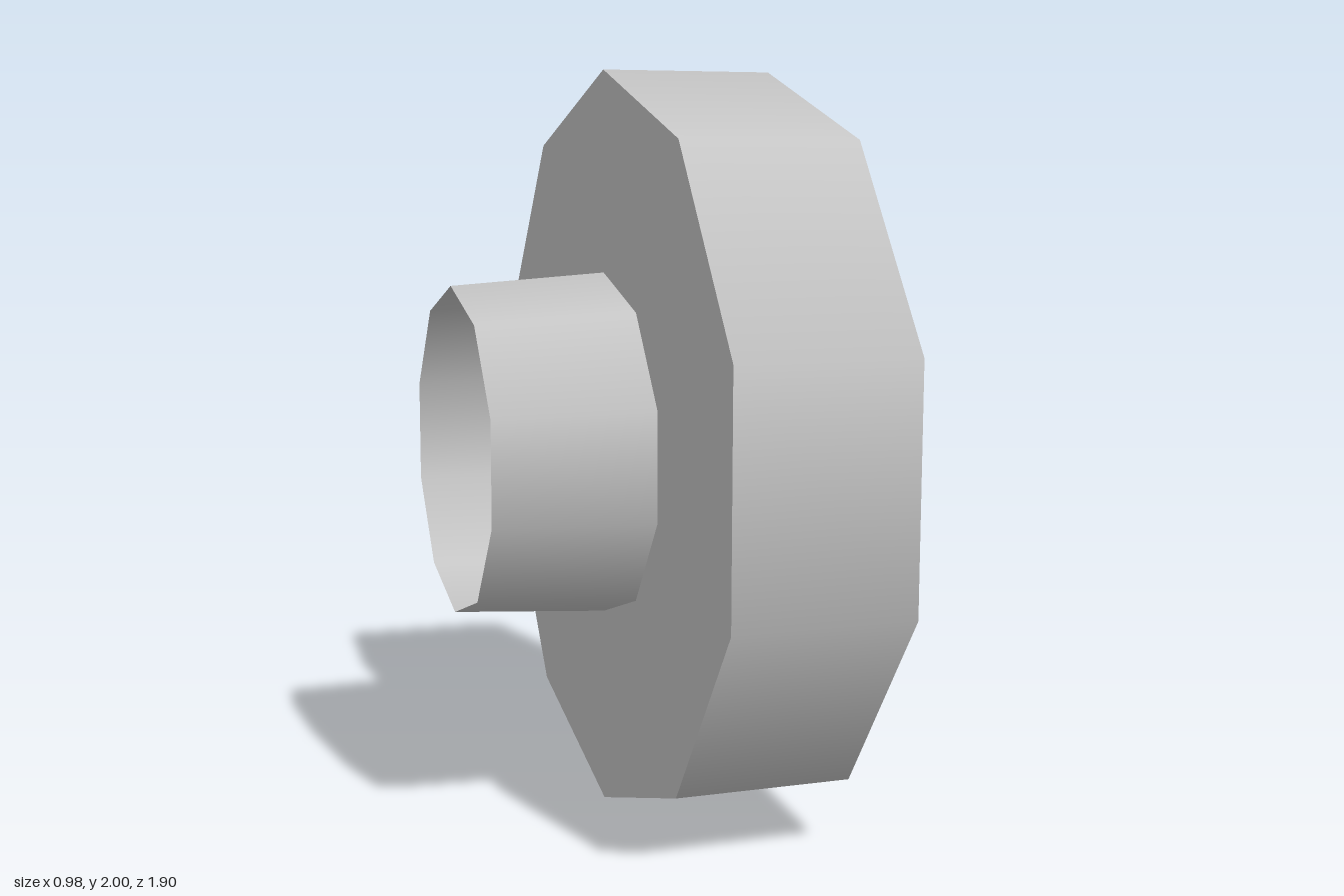
import * as THREE from 'three';

const SIDES = 10;

// Open ten-sided band along x, running from x0 (radius r0) to x1 (radius r1)
function band(x0, r0, x1, r1) {
  const g = new THREE.CylinderGeometry(r1, r0, x1 - x0, SIDES, 1, true, Math.PI / 2);
  g.rotateZ(-Math.PI / 2);
  return g.translate((x0 + x1) / 2, 0, 0);
}

// Flat ten-sided plate facing +x, with an optional hole
function plate(x, outer, inner = 0) {
  const g = inner
    ? new THREE.RingGeometry(inner, outer, SIDES, 1, Math.PI / 2)
    : new THREE.CircleGeometry(outer, SIDES, Math.PI / 2);
  return g.rotateY(Math.PI / 2).translate(x, 0, 0);
}

export function createModel() {
  const grey = new THREE.MeshStandardMaterial({ color: 0xc4c4c4 });
  grey.name = 'lightGrey';
  grey.side = THREE.DoubleSide;

  const group = new THREE.Group();
  group.name = 'flangedHub';
  const add = (name, geometry) => {
    const mesh = new THREE.Mesh(geometry, grey);
    mesh.name = name;
    mesh.position.y = 1;
    group.add(mesh);
  };

  const back = -0.07, face = 0.4, lip = 0.487, end = -0.49;
  const bore = 0.437, collar = 0.697;

  // Wide wheel
  add('wheelRim', band(back, 1, face, 1));
  add('wheelBack', plate(back, 1));
  add('wheelFace', plate(face, 1, collar));

  // Raised sloping collar and the bore behind it
  add('collar', band(face, collar, lip, bore));
  add('bore', band(back, bore, lip, bore));

  // Thin open pipe, slightly tapered
  add('pipe', band(end, bore, back, 0.465));

  return group;
}
